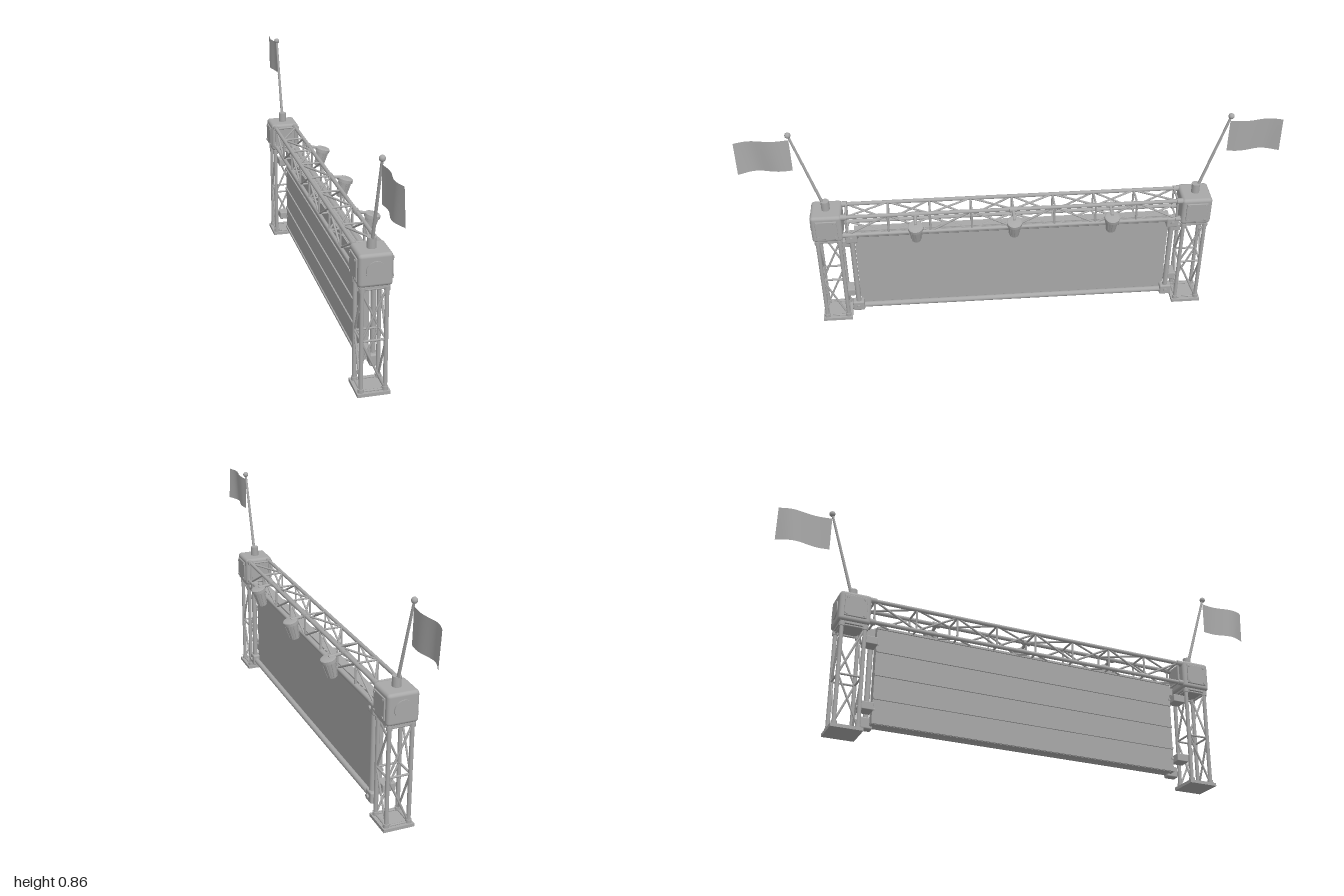
import * as THREE from 'three';
import { RoundedBoxGeometry } from 'three/addons/geometries/RoundedBoxGeometry.js';

const grey = new THREE.MeshStandardMaterial({ color: 0xa8a8a8 });
const cloth = new THREE.MeshStandardMaterial({ color: 0xa9a9a9, side: THREE.DoubleSide });

const CX = -0.033; // centre line of towers and beam
const HALF = 0.042; // half spacing of the truss chords

function add(parent, name, geometry, x = 0, y = 0, z = 0, material = grey) {
  const m = new THREE.Mesh(geometry, material);
  m.name = name;
  m.position.set(x, y, z);
  parent.add(m);
  return m;
}

function box(parent, name, w, h, d, x, y, z, r = 0) {
  const g = r ? new RoundedBoxGeometry(w, h, d, 3, r) : new THREE.BoxGeometry(w, h, d);
  return add(parent, name, g, x, y, z);
}

// Cylinder running from a to b
function rod(parent, name, a, b, r, sides = 10, rEnd = r) {
  const p = new THREE.Vector3(...a), q = new THREE.Vector3(...b);
  const dir = q.clone().sub(p);
  const m = add(parent, name, new THREE.CylinderGeometry(rEnd, r, dir.length(), sides));
  m.position.copy(p).add(q).multiplyScalar(0.5);
  m.quaternion.setFromUnitVectors(new THREE.Vector3(0, 1, 0), dir.normalize());
  return m;
}

// Box truss: at(u, v, t) places a point; u, v are -1 or 1, t runs along its length
function truss(parent, at, start, end, bays, chordR, laceR) {
  const corners = [[-1, -1], [1, -1], [1, 1], [-1, 1]];
  const step = (end - start) / bays;
  corners.forEach((c, i) => {
    const n = corners[(i + 1) % 4];
    rod(parent, 'chord', at(...c, start), at(...c, end), chordR, 12);
    for (let k = 0; k <= bays; k++) {
      const t = start + k * step;
      rod(parent, 'crossbar', at(...c, t), at(...n, t), laceR, 8);
      if (k === bays) continue;
      const [a, b] = k % 2 ? [n, c] : [c, n];
      rod(parent, 'diagonal', at(...a, t), at(...b, t + step), laceR, 8);
    }
  });
}

function tower(s) {
  const g = new THREE.Group();
  g.name = 'tower';
  const z = s * 0.705;
  box(g, 'basePlate', 0.115, 0.012, 0.115, CX, 0.006, z);
  truss(g, (u, v, t) => [CX + u * HALF, t, z + v * HALF], 0.014, 0.388, 2, 0.0075, 0.004);
  for (const u of [-1, 1]) for (const v of [-1, 1]) for (const y of [0.016, 0.388]) {
    rod(g, 'collar', [CX + u * HALF, y - 0.007, z + v * HALF],
      [CX + u * HALF, y + 0.009, z + v * HALF], 0.011, 12);
  }
  box(g, 'topPlate', 0.1, 0.008, 0.1, CX, 0.397, z);

  // Corner cube with outer discs and bolted side plates
  box(g, 'cornerCube', 0.116, 0.115, 0.116, CX, 0.458, z, 0.012);
  rod(g, 'endDisc', [CX, 0.458, z + s * 0.055], [CX, 0.458, z + s * 0.062], 0.034, 32);
  for (const u of [-1, 1]) {
    const x = CX + u * 0.06;
    box(g, 'sidePlate', 0.006, 0.082, 0.082, x, 0.458, z, 0.0025);
    for (const a of [-1, 1]) for (const b of [-1, 1]) {
      rod(g, 'bolt', [x, 0.458 + a * 0.032, z + b * 0.032],
        [x + u * 0.006, 0.458 + a * 0.032, z + b * 0.032], 0.005, 8);
    }
  }
  return g;
}

function flag(s) {
  const g = new THREE.Group();
  g.name = 'flag';
  rod(g, 'poleSocket', [CX, 0.51, s * 0.705], [CX, 0.553, s * 0.705], 0.016, 12);
  rod(g, 'pole', [CX, 0.53, s * 0.709], [CX, 0.846, s * 0.804], 0.006, 10, 0.0045);
  add(g, 'poleBall', new THREE.SphereGeometry(0.011, 16, 12), CX, 0.85, s * 0.805);

  // Waving cloth: the wave grows away from the pole and towards the lower edge
  const geo = new THREE.PlaneGeometry(0.196, 0.13, 24, 6);
  const p = geo.attributes.position;
  for (let i = 0; i < p.count; i++) {
    const u = p.getX(i) / 0.196 + 0.5, v = 0.5 - p.getY(i) / 0.13;
    const wave = Math.sin(u * 6.6 + v * 0.5) * (0.004 + 0.009 * u) * (0.8 + 0.25 * v);
    p.setXYZ(i, CX + 0.005 * u + wave, 0.765 + p.getY(i), s * (0.804 + 0.196 * u));
  }
  geo.computeVertexNormals();
  add(g, 'flagCloth', geo, 0, 0, 0, cloth);
  return g;
}

function board() {
  const g = new THREE.Group();
  g.name = 'board';
  box(g, 'panel', 0.03, 0.372, 1.215, -0.024, 0.237, 0);
  // Horizontal ribs on the back
  for (const y of [0.056, 0.147, 0.237, 0.328, 0.418]) {
    box(g, 'backRib', 0.006, 0.008, 1.215, -0.041, y, 0);
  }
  // Front frame with corner blocks
  for (const y of [0.06, 0.415]) rod(g, 'frameRail', [0.003, y, -0.615], [0.003, y, 0.615], 0.011, 16);
  for (const s of [-1, 1]) {
    rod(g, 'framePost', [0.003, 0.06, s * 0.617], [0.003, 0.415, s * 0.617], 0.01, 16);
    for (const y of [0.062, 0.405]) {
      box(g, 'cornerBlock', 0.032, 0.044, 0.046, 0.002, y, s * 0.618, 0.006);
      rod(g, 'cornerBolt', [0.015, y, s * 0.618], [0.025, y, s * 0.618], 0.008, 10);
    }
    // Clamps holding the board to the tower
    for (const y of [0.105, 0.354]) {
      box(g, 'clamp', 0.051, 0.03, 0.05, -0.0425, y, s * 0.635, 0.003);
      rod(g, 'clampBar', [-0.033, y, s * 0.6], [-0.033, y, s * 0.665], 0.008);
    }
  }
  return g;
}

function lamp(z) {
  const g = new THREE.Group();
  g.name = 'lamp';
  rod(g, 'lampClamp', [CX + HALF, 0.503, z - 0.014], [CX + HALF, 0.503, z + 0.014], 0.011, 14);
  rod(g, 'lampArm', [0.012, 0.5, z], [0.065, 0.493, z], 0.006);
  // Tilted housing, turned profile
  const profile = [[0, 0], [0.018, 0], [0.018, 0], [0.025, 0.062], [0.025, 0.062], [0.029, 0.062],
    [0.029, 0.062], [0.029, 0.074], [0.029, 0.074], [0.024, 0.078], [0, 0.078]];
  const body = add(g, 'lampHousing',
    new THREE.LatheGeometry(profile.map((q) => new THREE.Vector2(...q)), 20), 0.05, 0.417, z);
  body.rotation.z = -0.25;
  for (let i = 0; i < 8; i++) {
    const a = (i * Math.PI) / 4, c = Math.cos(a), n = Math.sin(a);
    rod(body, 'coolingRib', [0.0185 * c, 0.004, 0.0185 * n], [0.025 * c, 0.062, 0.025 * n], 0.002, 6);
  }
  return g;
}

export function createModel() {
  const model = new THREE.Group();
  model.name = 'bannerGantry';
  for (const s of [-1, 1]) model.add(tower(s), flag(s));

  const beam = new THREE.Group();
  beam.name = 'beam';
  truss(beam, (u, v, t) => [CX + u * HALF, 0.462 + v * HALF, t], -0.632, 0.632, 8, 0.0075, 0.004);
  for (const s of [-1, 1]) for (const u of [-1, 1]) for (const v of [-1, 1]) {
    const x = CX + u * HALF, y = 0.462 + v * HALF;
    rod(beam, 'beamCollar', [x, y, s * 0.628], [x, y, s * 0.65], 0.011, 12);
  }
  model.add(beam, board());
  for (const z of [-0.37, 0, 0.37]) model.add(lamp(z));
  return model;
}
